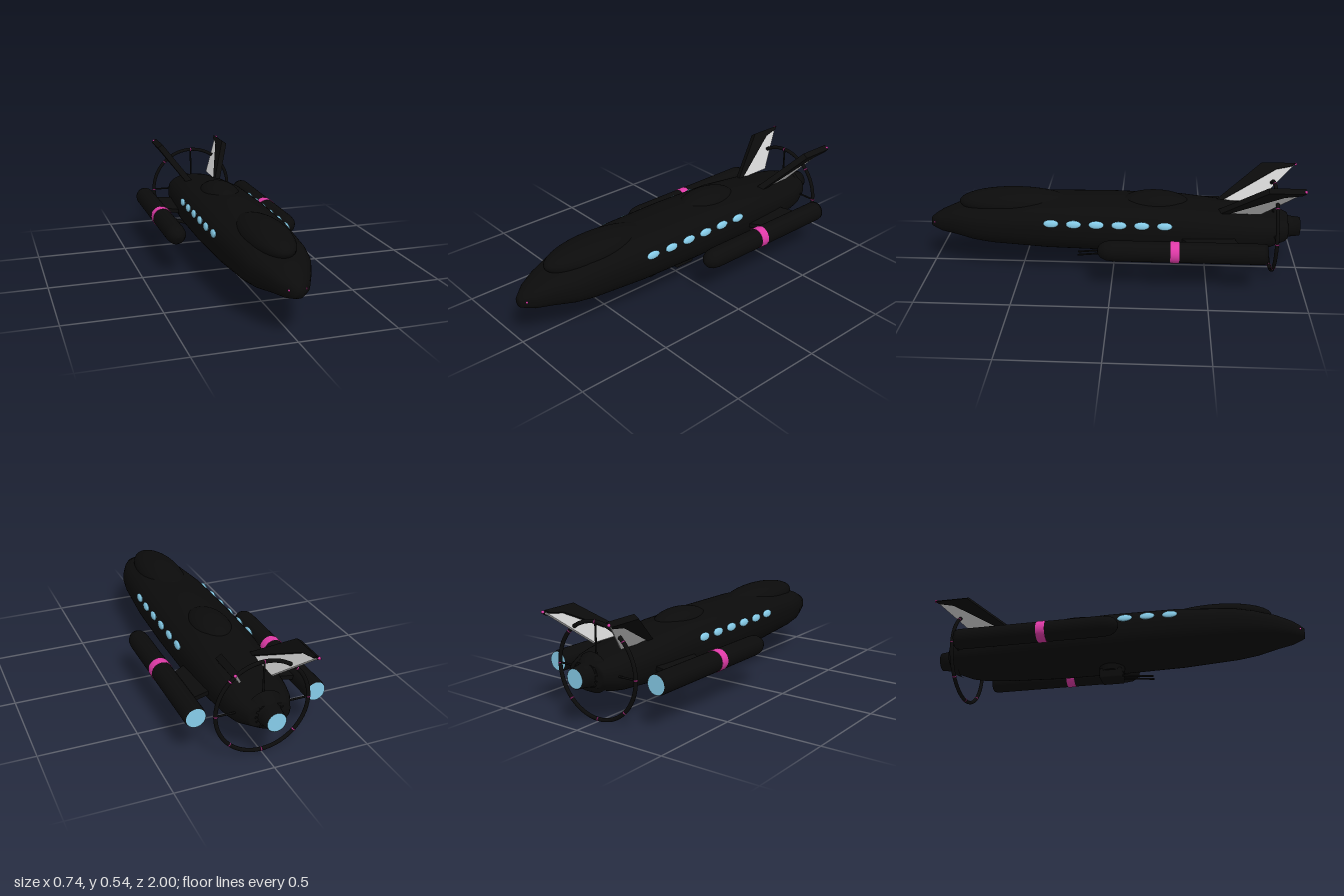
import * as THREE from 'three';
import { RoundedBoxGeometry } from 'three/addons/geometries/RoundedBoxGeometry.js';

const paint = (color) => new THREE.MeshStandardMaterial({ color });
const black = paint(0x0b0b0b), pink = paint(0xe03aa8), blue = paint(0x87ceeb), grey = paint(0xcccccc);

export function createModel() {
  const root = new THREE.Group();
  root.name = 'spaceShuttle';

  const add = (name, geometry, material, x = 0, y = 0, z = 0, parent = root) => {
    const m = new THREE.Mesh(geometry, material);
    m.name = name;
    m.position.set(x, y, z);
    parent.add(m);
    return m;
  };
  const ball = (name, r, material, x, y, z) => add(name, new THREE.SphereGeometry(r, 14, 10), material, x, y, z);
  const rod = (name, a, b, r, material) => {
    const from = new THREE.Vector3(...a), to = new THREE.Vector3(...b);
    const m = add(name, new THREE.CylinderGeometry(r, r, from.distanceTo(to), 12), material);
    m.position.copy(from).lerp(to, 0.5);
    m.quaternion.setFromUnitVectors(new THREE.Vector3(0, 1, 0), to.sub(from).normalize());
    return m;
  };
  // Lathe along z from [z, radius] points listed from back to front
  const latheZ = (points, sides = 32) => new THREE.LatheGeometry(
    points.map(([z, r]) => new THREE.Vector2(r, z)), sides).rotateX(Math.PI / 2);

  add('hull', hullGeometry(), black);

  // Raised canopies
  const dome = (name, y, z, rx, ry, rz) =>
    add(name, new THREE.SphereGeometry(1, 40, 24).scale(rx, ry, rz), black, 0, y, z);
  dome('cockpitCanopy', 0.365, 0.53, 0.12, 0.075, 0.31);
  dome('rearCanopy', 0.375, -0.22, 0.105, 0.065, 0.185);

  // Main engine
  add('engineNozzle', latheZ([[-1, 0], [-1, 0.05], [-0.95, 0.056], [-0.93, 0.06], [-0.93, 0.075], [-0.88, 0.1]]),
    black, 0, 0.255, 0);
  add('engineGlow', new THREE.CircleGeometry(0.048, 32).rotateY(Math.PI), blue, 0, 0.255, -1.001);

  // Tail ring with beads and spokes
  const ringY = 0.255, ringR = 0.239, ringZ = -0.855;
  add('tailRing', new THREE.TorusGeometry(ringR, 0.01, 12, 72), black, 0, ringY, ringZ);
  for (let i = 0; i < 8; i++) {
    const a = i * Math.PI / 4;
    const bead = ball('ringBead', 0.008, pink, Math.cos(a) * ringR, ringY + Math.sin(a) * ringR, ringZ);
    bead.scale.set(1.35, 0.75, 1.5);
    bead.rotation.z = a;
  }
  for (const a of [0, Math.PI / 2, Math.PI]) {
    const c = Math.cos(a), s = Math.sin(a);
    rod('ringSpoke', [c * 0.07, ringY + s * 0.07, ringZ], [c * ringR, ringY + s * ringR, ringZ], 0.005, black);
  }

  // Belly turret
  add('turretMount', new THREE.CylinderGeometry(0.07, 0.065, 0.035, 28), black, 0, 0.12, -0.025);
  add('turretBody', new RoundedBoxGeometry(0.104, 0.06, 0.12, 3, 0.01), black, 0, 0.088, -0.025);

  for (const s of [-1, 1]) {
    rod('turretBarrel', [s * 0.02, 0.08, 0], [s * 0.02, 0.06, 0.2], 0.005, black);
    ball('noseLight', 0.006, pink, s * 0.04, 0.25, 0.977);

    // Portholes
    for (let i = 0; i < 6; i++) {
      const z = 0.32 - i * 0.119;
      const w = add('porthole', new THREE.SphereGeometry(1, 20, 14).scale(0.01, 0.021, 0.04), blue,
        s * (z > 0.25 ? 0.197 : 0.201), 0.325, z);
      w.rotation.z = s * 0.2;
    }

    // Side engine pods
    const px = s * 0.312, py = 0.233;
    add('enginePod', latheZ([[-0.8, 0], [-0.8, 0.05], [-0.78, 0.054], [-0.01, 0.054],
      [0.025, 0.05], [0.05, 0.038], [0.065, 0.02], [0.07, 0]]), black, px, py, 0);
    add('podBand', latheZ([[-0.352, 0.053], [-0.352, 0.0565], [-0.306, 0.0565], [-0.306, 0.053]]), pink, px, py, 0);
    add('podGlow', new THREE.CircleGeometry(0.049, 32).rotateY(Math.PI), blue, px, py, -0.801);

    // Swept pylon between hull and pod
    add('podPylon', slab([[0.15, 0.33], [0.28, 0.42], [0.28, 0.67], [0.15, 0.63]].map(([x, z]) => [s * x, z]), 0.022)
      .rotateX(-Math.PI / 2), black, 0, 0.246, 0);

    // V tail fin, drawn as (distance back, span) in its own leaning plane
    const fin = new THREE.Group();
    fin.name = 'tailFin';
    fin.position.set(s * 0.1, 0.385, 0);
    fin.rotation.z = -s * 0.6;
    root.add(fin);
    add('finPanel', slab([[0.57, -0.03], [0.82, 0.175], [0.975, 0.175], [0.78, -0.03]], 0.012)
      .rotateY(Math.PI / 2), grey, 0, 0, 0, fin);
    add('finLeadingEdge', slab([[0.55, -0.03], [0.8, 0.185], [0.985, 0.185], [0.965, 0.168], [0.88, 0.15], [0.585, -0.03]], 0.034)
      .rotateY(Math.PI / 2), black, 0, 0, 0, fin);
    ball('finTipLight', 0.008, pink, s * 0.205, 0.535, -0.985);
  }
  return root;
}

// Flat plate of a given outline, centred on its thickness
function slab(points, depth) {
  const shape = new THREE.Shape(points.map(([x, y]) => new THREE.Vector2(x, y)));
  return new THREE.ExtrudeGeometry(shape, { depth, bevelEnabled: false }).translate(0, 0, -depth / 2);
}

// Fuselage lofted from soft-cornered oval sections: [z, half width, bottom, top]
function hullGeometry() {
  const sections = [
    [1, 0.025, 0.215, 0.265], [0.975, 0.045, 0.205, 0.285], [0.94, 0.075, 0.195, 0.305],
    [0.86, 0.113, 0.185, 0.338], [0.75, 0.158, 0.165, 0.365], [0.65, 0.176, 0.152, 0.385],
    [0.35, 0.201, 0.136, 0.408], [0, 0.209, 0.13, 0.41], [-0.35, 0.206, 0.13, 0.402],
    [-0.6, 0.188, 0.138, 0.375], [-0.78, 0.165, 0.15, 0.35], [-0.84, 0.15, 0.16, 0.34],
    [-0.92, 0.11, 0.19, 0.318], [-0.93, 0.1, 0.2, 0.31]];
  const n = 48, pos = [], idx = [];
  const soft = (v) => Math.sign(v) * Math.abs(v) ** 0.82;
  for (const [z, w, lo, hi] of sections) {
    for (let j = 0; j < n; j++) {
      const a = j / n * Math.PI * 2;
      pos.push(w * soft(Math.cos(a)), (lo + hi) / 2 + (hi - lo) / 2 * soft(Math.sin(a)), z);
    }
  }
  const last = sections.length - 1;
  for (let i = 0; i < last; i++) {
    for (let j = 0; j < n; j++) {
      const a = i * n + j, b = i * n + (j + 1) % n;
      idx.push(a, a + n, b, b, a + n, b + n);
    }
  }
  // End caps
  for (const [i, front] of [[0, true], [last, false]]) {
    const c = pos.length / 3, [z, , lo, hi] = sections[i];
    pos.push(0, (lo + hi) / 2, z);
    for (let j = 0; j < n; j++) {
      const a = i * n + j, b = i * n + (j + 1) % n;
      idx.push(c, front ? a : b, front ? b : a);
    }
  }
  const g = new THREE.BufferGeometry();
  g.setAttribute('position', new THREE.Float32BufferAttribute(pos, 3));
  g.setIndex(idx);
  g.computeVertexNormals();
  return g;
}
